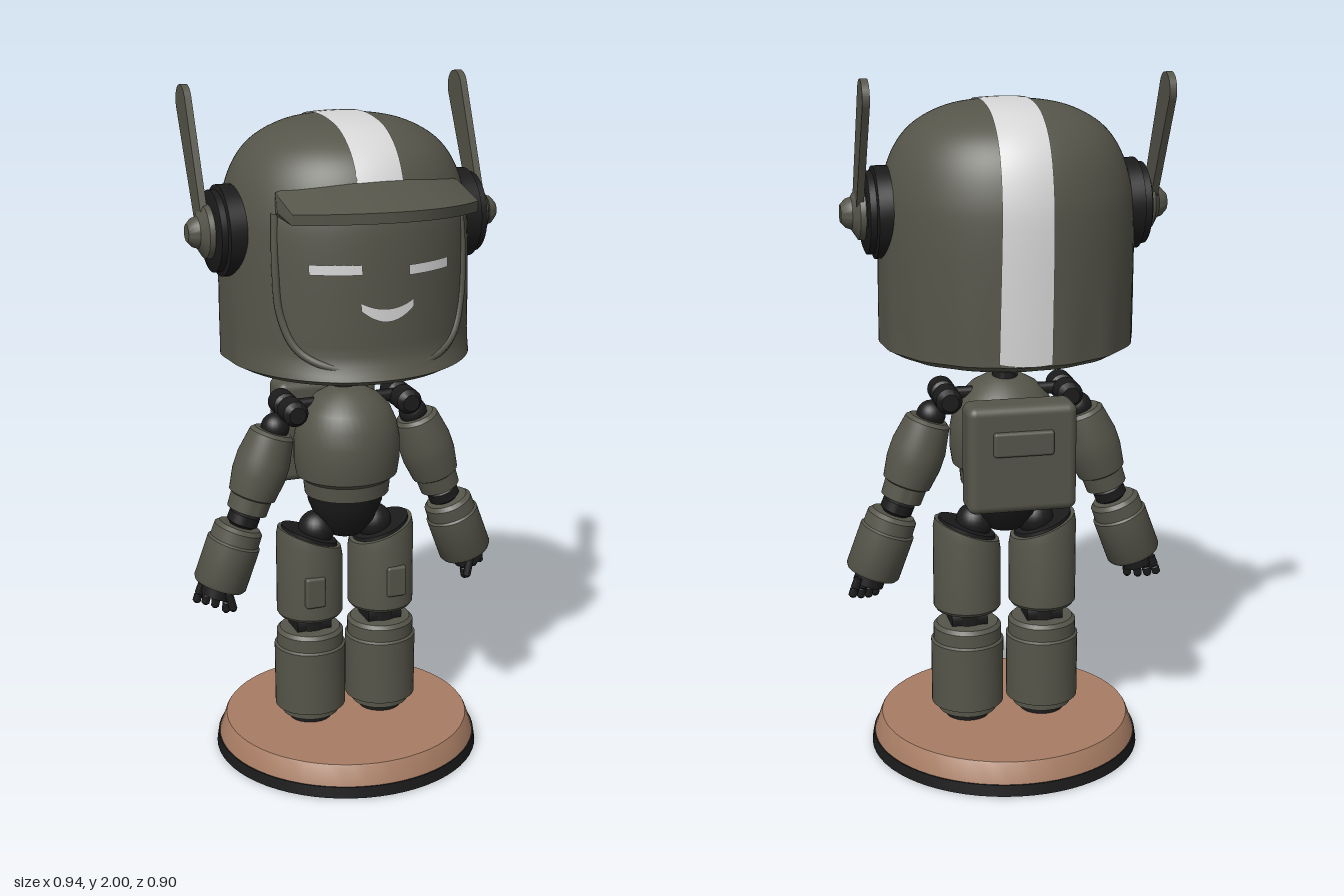
import * as THREE from 'three';
import { toCreasedNormals } from 'three/addons/utils/BufferGeometryUtils.js';
import { RoundedBoxGeometry } from 'three/addons/geometries/RoundedBoxGeometry.js';

const V = (x, y, z) => new THREE.Vector3(x, y, z);
const ZC = -0.06;      // body axis
const HZ = -0.075;     // helmet axis
const HX = 1.045;      // helmet is slightly wider than deep

function material(name, color, side = THREE.FrontSide) {
  const m = new THREE.MeshStandardMaterial({ color, side });
  m.name = name;
  return m;
}

export function createModel() {
  const model = new THREE.Group();
  model.name = 'robotFigure';
  const olive = material('olive', 0x55554a);
  const black = material('black', 0x1b1b1b);
  const white = material('white', 0xd6d6d6, THREE.DoubleSide);
  const tan = material('tan', 0xa87d64);

  function add(name, geometry, mat, parent = model) {
    const mesh = new THREE.Mesh(geometry, mat);
    mesh.name = name;
    parent.add(mesh);
    return mesh;
  }
  // Turned solid running from a to b; profile is [radius, fraction along]
  function turned(name, mat, a, b, profile, parent = model, sides = 40) {
    const d = b.clone().sub(a), len = d.length();
    const pts = [[0, profile[0][1]], ...profile, [0, profile.at(-1)[1]]]
      .map(([r, t]) => new THREE.Vector2(r, t * len));
    const mesh = add(name, toCreasedNormals(new THREE.LatheGeometry(pts, sides), 0.6), mat, parent);
    mesh.position.copy(a);
    mesh.quaternion.setFromUnitVectors(V(0, 1, 0), d.normalize());
    return mesh;
  }
  function ball(name, mat, p, r, parent = model) {
    const mesh = add(name, new THREE.SphereGeometry(r, 24, 16), mat, parent);
    mesh.position.copy(p);
    return mesh;
  }
  // Grid surface from a rule fn(i / nu, j / nv)
  function sheet(nu, nv, fn) {
    const pos = [], idx = [];
    for (let i = 0; i <= nu; i++) for (let j = 0; j <= nv; j++) {
      pos.push(...fn(i / nu, j / nv).toArray());
      if (i < nu && j < nv) {
        const a = i * (nv + 1) + j, b = a + nv + 1;
        idx.push(a, a + 1, b, b, a + 1, b + 1);
      }
    }
    const g = new THREE.BufferGeometry();
    g.setAttribute('position', new THREE.Float32BufferAttribute(pos, 3));
    g.setIndex(idx);
    g.computeVertexNormals();
    return g;
  }

  // Base
  turned('baseUnderside', tan, V(0, 0, -0.053), V(0, 0.003, -0.053), [[0.388, 0], [0.388, 1]], model, 64);
  turned('baseRim', black, V(0, 0.002, -0.053), V(0, 0.035, -0.053), [[0.397, 0], [0.392, 1]], model, 64);
  turned('baseTop', tan, V(0, 0.035, -0.053), V(0, 0.095, -0.053), [[0.388, 0], [0.37, 0.9], [0.366, 1]], model, 64);

  // Helmet profile and its radius at any height
  const profile = new THREE.SplineCurve([[0.345, 1.25], [0.345, 1.4], [0.341, 1.6], [0.33, 1.7], [0.3, 1.79],
    [0.25, 1.855], [0.17, 1.9], [0.08, 1.917], [0, 1.92]].map(p => new THREE.Vector2(...p))).getPoints(48);
  profile.at(-1).x = 0;
  function radiusAt(y) {
    if (y <= 1.25) return 0.345;
    const k = profile.findIndex(p => p.y >= y);
    if (k < 1) return 0;
    const a = profile[k - 1], b = profile[k];
    return THREE.MathUtils.lerp(a.x, b.x, (y - a.y) / (b.y - a.y));
  }
  const onFace = (x, y, off) => V(x, y, Math.sqrt((radiusAt(y) + off) ** 2 - (x / HX) ** 2) + HZ);

  // Helmet shell: soft folds low at the sides and back, a lip at the chin
  const under = [[0, 1.19], [0.12, 1.193], [0.22, 1.205], [0.31, 1.23]].map(p => new THREE.Vector2(...p));
  const shell = new THREE.LatheGeometry([...under, ...profile], 96);
  const sp = shell.attributes.position;
  for (let i = 0; i < sp.count; i++) {
    const x = sp.getX(i), y = sp.getY(i), z = sp.getZ(i), ang = Math.atan2(x, z);
    const low = THREE.MathUtils.clamp((1.55 - y) / 0.25, 0, 1);
    const back = THREE.MathUtils.smoothstep(Math.abs(ang), 1.0, 1.5);
    const k = 1 - 0.014 * low * back * (0.5 + 0.5 * Math.sin(ang * 16));
    const chin = 0.03 * Math.max(0, z / 0.345) * THREE.MathUtils.clamp((1.3 - y) / 0.05, 0, 1);
    sp.setXYZ(i, x * k * HX, y, z * k + chin + HZ);
  }
  add('helmet', toCreasedNormals(shell, 0.6), olive);

  // Stripe wrapped over the helmet from back hem to brim
  add('helmetStripe', sheet(48, 6, (u, v) => {
    const lerp = THREE.MathUtils.lerp, phi = lerp(-2.19, 0.85, u);
    const x = lerp(lerp(-0.055, -0.068, u), lerp(0.09, 0.064, u), v);
    let lo = 0, hi = 0.6;
    for (let n = 0; n < 24; n++) {
      const t = (lo + hi) / 2, y = 1.5 + t * Math.cos(phi);
      if (Math.hypot(x / HX, t * Math.sin(phi)) < radiusAt(y)) lo = t; else hi = t;
    }
    lo += 0.004;
    return V(x, 1.5 + lo * Math.cos(phi), HZ + lo * Math.sin(phi));
  }), white);

  // Brim: arched wedge with closed ends
  add('brim', toCreasedNormals(sheet(40, 4, (u, v) => {
    const s = u * 2 - 1, q = s * s, x = 0.28 * s, outer = 0.45 - 0.2 * q, inner = 0.15 - 0.03 * q;
    const ring = [V(x, 1.8 - 0.05 * q, inner), V(x, 1.75 - 0.03 * q, outer),
      V(x, 1.72 - 0.03 * q, outer - 0.005), V(x, 1.725 - 0.035 * q, inner)];
    if (u === 0 || u === 1) return ring.reduce((a, p) => a.add(p), V(0, 0, 0)).divideScalar(4);
    return ring[Math.round(v * 4) % 4];
  }), 0.6), olive);

  // Face frame, eyes and mouth
  const half = [[0.27, 1.7], [0.275, 1.55], [0.266, 1.42], [0.23, 1.33], [0.15, 1.285]];
  const frame = [...half.map(([x, y]) => [-x, y]), [0, 1.275], ...half.reverse()];
  add('faceFrame', new THREE.TubeGeometry(
    new THREE.CatmullRomCurve3(frame.map(([x, y]) => onFace(x, y, 0))), 80, 0.011, 8), olive);
  for (const s of [-1, 1]) {
    add(s > 0 ? 'leftEye' : 'rightEye', sheet(12, 2, (u, v) =>
      onFace(s * 0.135 + (u - 0.5) * 0.135, 1.552 - s * 0.005 + (v - 0.5) * 0.028, 0.004)), white);
  }
  add('mouth', sheet(16, 2, (u, v) => {
    const s = u * 2 - 1, w = 0.036 - 0.014 * s * s;
    return onFace(0.005 + s * 0.077, 1.427 + 0.028 * s * s + (v - 0.5) * w, 0.004);
  }), white);

  // Neck, torso and pelvis
  turned('neck', black, V(0, 1.1, ZC), V(0, 1.21, ZC), [[0.04, 0], [0.035, 0.6], [0.06, 0.7], [0.06, 1]]);
  const torso = turned('torso', olive, V(0, 0, -0.045), V(0, 1, -0.045), [[0.125, 0.815], [0.13, 0.86],
    [0.15, 0.875], [0.157, 0.92], [0.157, 0.98], [0.148, 1.03], [0.128, 1.075], [0.095, 1.11], [0.05, 1.135], [0.02, 1.14]]);
  torso.scale.z = 0.95;
  turned('pelvis', black, V(0, 0.68, ZC), V(0, 0.85, ZC), [[0.05, 0], [0.085, 0.25], [0.11, 0.6], [0.12, 1]]);

  // Backpack with a raised panel
  add('backpack', new RoundedBoxGeometry(0.31, 0.31, 0.11, 4, 0.025), olive).position.set(0, 0.955, -0.255);
  add('backpackPanel', new RoundedBoxGeometry(0.17, 0.07, 0.03, 3, 0.008), olive).position.set(0, 1.005, -0.31);

  for (const s of [-1, 1]) {
    const side = s > 0 ? 'left' : 'right';
    const P = (x, y, z = ZC) => V(s * x, y, z);

    // Ear and antenna
    const ear = new THREE.Group();
    ear.name = side + 'Ear';
    model.add(ear);
    const E = x => P(x, 1.62, -0.065);
    turned('earPad', black, E(0.3), E(0.4), [[0.128, 0], [0.128, 0.72], [0.115, 0.76], [0.115, 0.94], [0.1, 1]], ear);
    turned('earBoss', olive, E(0.39), E(0.463), [[0.078, 0], [0.074, 0.35], [0.045, 0.6], [0.04, 0.8], [0.025, 1]], ear);
    const blade = new THREE.Shape();
    blade.moveTo(-0.036, 0).lineTo(0.036, 0).lineTo(0.049, 0.373);
    blade.absarc(0, 0.373, 0.049, 0, Math.PI, false);
    const bladeGeo = new THREE.ExtrudeGeometry(blade, { depth: 0.02, bevelEnabled: false });
    bladeGeo.translate(0, 0, -0.01).rotateY(-Math.PI / 2);
    const antenna = add('antenna', bladeGeo, olive, ear);
    antenna.position.copy(P(0.415, 1.62, -0.065));
    antenna.rotation.x = -0.457;

    // Shoulder and arm
    const arm = new THREE.Group();
    arm.name = side + 'Arm';
    model.add(arm);
    turned('shoulderBar', black, P(0.175, 1.085, 0.03), P(0.175, 1.085, -0.15),
      [[0.025, 0], [0.038, 0.1], [0.038, 0.42], [0.028, 0.46], [0.028, 0.54], [0.038, 0.58], [0.038, 0.9], [0.025, 1]], arm, 20);
    turned('collarLink', black, P(0.08, 1.09), P(0.18, 1.09), [[0.018, 0], [0.018, 1]], arm, 16);
    ball('shoulderJoint', black, P(0.215, 1.03), 0.042, arm);
    turned('upperArm', olive, P(0.222, 1.02), P(0.305, 0.785),
      [[0.055, 0], [0.066, 0.04], [0.08, 0.35], [0.08, 0.55], [0.07, 0.8], [0.062, 0.82], [0.06, 1]], arm);
    turned('elbow', black, P(0.3, 0.8), P(0.335, 0.715),
      [[0.035, 0], [0.035, 0.2], [0.047, 0.3], [0.047, 0.6], [0.035, 0.7], [0.035, 1]], arm);
    turned('forearm', olive, P(0.328, 0.742), P(0.394, 0.562),
      [[0.062, 0], [0.073, 0.06], [0.074, 0.25], [0.08, 0.28], [0.08, 0.95], [0.074, 1]], arm);
    turned('palm', black, P(0.39, 0.575), P(0.406, 0.53), [[0.045, 0], [0.045, 1]], arm, 20);
    for (let f = 0; f < 4; f++) {
      const x = 0.375 + f * 0.021, z = ZC + [0.025, -0.005, -0.022, -0.03][f];
      turned('finger', black, P(x, 0.56, z), P(x + 0.008 + f * 0.004, 0.482 + f * 0.007, z),
        [[0.012, 0], [0.013, 0.5], [0.01, 0.55], [0.013, 0.6], [0.012, 0.92], [0.006, 1]], arm, 12);
    }
    turned('thumb', black, P(0.385, 0.565, 0), P(0.37, 0.5, 0.005), [[0.012, 0], [0.012, 0.9], [0.006, 1]], arm, 12);

    // Leg: the thigh top slopes down to the inside
    const leg = new THREE.Group();
    leg.name = side + 'Leg';
    model.add(leg);
    ball('hip', black, P(0.09, 0.7), 0.055, leg);
    const slope = (mesh, from) => {
      const p = mesh.geometry.attributes.position;
      for (let i = 0; i < p.count; i++) if (p.getY(i) > from) p.setY(i, p.getY(i) + s * p.getX(i) * 0.38 );
      mesh.geometry = toCreasedNormals(mesh.geometry, 0.6);
    };
    slope(turned('thigh', olive, P(0.113, 0.435), P(0.113, 0.68),
      [[0.092, 0], [0.099, 0.04], [0.099, 0.88], [0.094, 1]], leg), 0.1);
    slope(turned('thighCap', black, P(0.113, 0.66), P(0.113, 0.69), [[0.086, 0], [0.082, 1]], leg), -1);
    add('thighPanel', new RoundedBoxGeometry(0.06, 0.095, 0.03, 3, 0.008), olive, leg)
      .position.copy(P(0.128, 0.535, 0.032));
    turned('knee', black, P(0.113, 0.37), P(0.113, 0.45), [[0.05, 0], [0.05, 1]], leg);
    turned('kneePin', black, P(0.06, 0.405), P(0.166, 0.405), [[0.045, 0], [0.045, 1]], leg, 24);
    turned('shin', olive, P(0.113, 0.115), P(0.113, 0.39),
      [[0.085, 0], [0.085, 0.07], [0.106, 0.09], [0.107, 0.8], [0.1, 0.82], [0.1, 0.96], [0.09, 1]], leg);
    turned('foot', black, P(0.113, 0.09), P(0.113, 0.14), [[0.064, 0], [0.064, 1]], leg);
  }
  return model;
}
